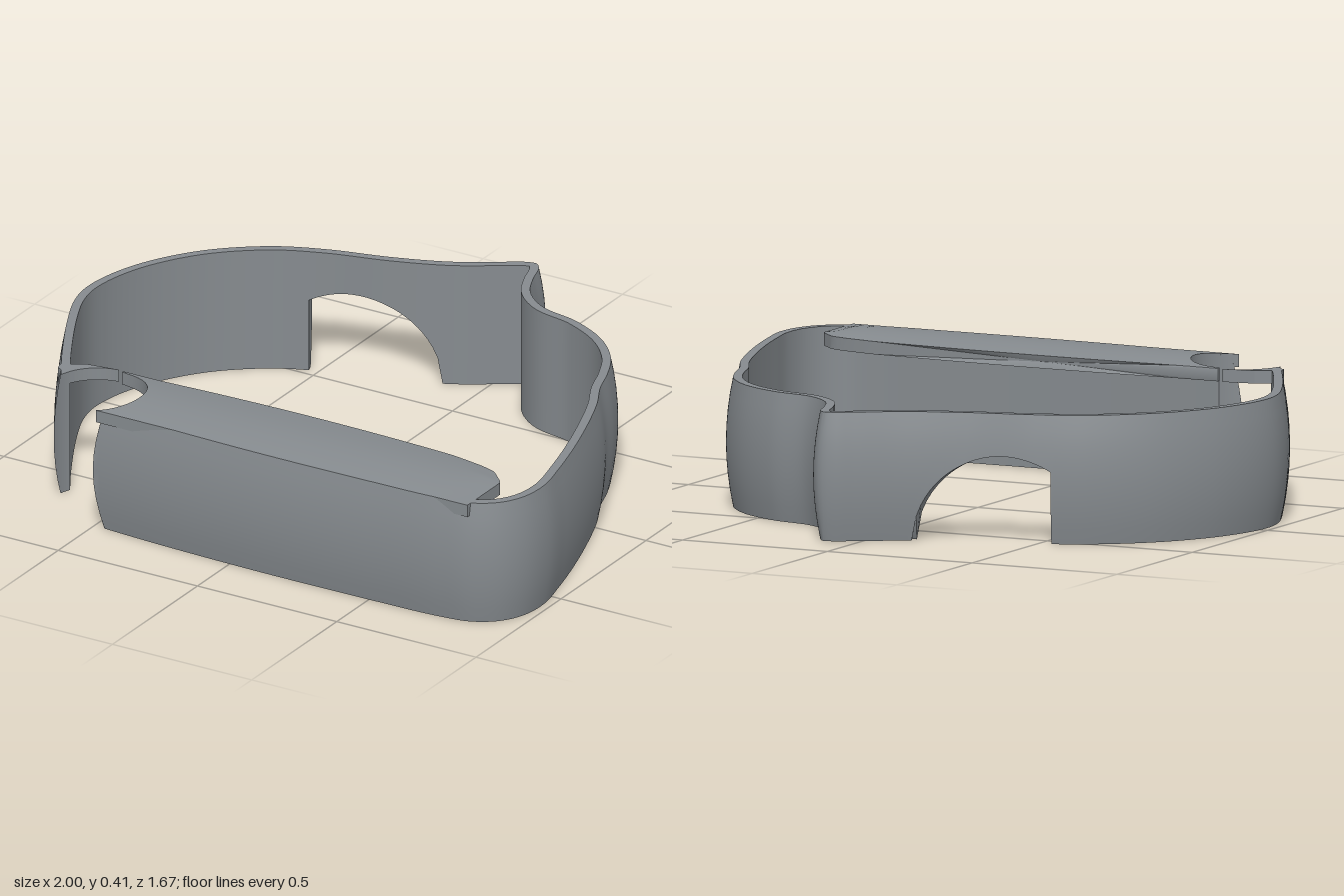
import * as THREE from 'three';
import { toCreasedNormals } from 'three/addons/utils/BufferGeometryUtils.js';

const HEIGHT = 0.4;
const notch = { x: -0.56, z: 0.67, r: 0.155 };   // round vertical cut at the front corner
const arch = { x: -0.4, r: 0.27, from: -0.555 }; // round opening in the back wall

// Skin a row of closed cross-sections and cap both ends
function loft(sections) {
  const pos = [];
  const tri = (a, b, c) => pos.push(...a, ...b, ...c);
  const n = sections[0].length;
  for (let i = 0; i < sections.length - 1; i++) {
    for (let j = 0; j < n; j++) {
      const k = (j + 1) % n, a = sections[i], b = sections[i + 1];
      tri(a[j], a[k], b[j]);
      tri(b[j], a[k], b[k]);
    }
  }
  const cap = (s, end) => {
    const mid = [0, 1, 2].map(c => s.reduce((sum, p) => sum + p[c], 0) / n);
    s.forEach((p, j) => {
      const q = s[(j + 1) % n];
      if (end) tri(mid, p, q); else tri(mid, q, p);
    });
  };
  cap(sections[0], false);
  cap(sections[sections.length - 1], true);
  const g = new THREE.BufferGeometry();
  g.setAttribute('position', new THREE.Float32BufferAttribute(pos, 3));
  return toCreasedNormals(g, 0.6);
}

// Slide a point along direction (dx, dz) until it leaves the notch circle
function clearNotch(x, z, dx, dz) {
  const ox = x - notch.x, oz = z - notch.z;
  const c = ox * ox + oz * oz - notch.r ** 2;
  if (c >= 0) return [x, z];
  const b = ox * dx + oz * dz;
  const s = -b + Math.sqrt(b * b - c);
  return [x + dx * s, z + dz * s];
}

// Widest outline of the band, from the notch round the back to the notch again
const outline = [
  [-0.67, 0.74], [-0.71, 0.68], [-0.80, 0.53], [-0.93, 0.28], [-0.983, 0.15], [-1, 0.05], [-0.985, -0.08],
  [-0.93, -0.23], [-0.82, -0.39], [-0.66, -0.52], [-0.5, -0.59], [-0.3, -0.645], [-0.13, -0.71],
  [0.01, -0.795], [0.07, -0.83], [0.115, -0.837], [0.15, -0.805], [0.18, -0.72], [0.22, -0.64],
  [0.3, -0.575], [0.44, -0.54], [0.58, -0.465], [0.68, -0.36], [0.735, -0.25], [0.77, -0.15],
  [0.82, -0.05], [0.87, 0.08], [0.925, 0.25], [0.97, 0.42], [0.997, 0.56], [0.985, 0.67],
  [0.94, 0.75], [0.86, 0.805], [0.75, 0.825], [0.5, 0.833], [0.1, 0.835], [-0.25, 0.825],
  [-0.46, 0.812], [-0.54, 0.805],
];

// Thin wall with a bulging outside and a straight inside
function wallGeometry() {
  const curve = new THREE.CatmullRomCurve3(outline.map(([x, z]) => new THREE.Vector3(x, 0, z)));
  const N = 400, ROWS = 8;
  const section = (u, open) => {
    const p = curve.getPointAt(u), t = curve.getTangentAt(u);
    const away = u < 0.5 ? 1 : -1;
    const point = (inset, y, fixedInset) => {
      const place = d => clearNotch(p.x - t.z * d, p.z + t.x * d, t.x * away, t.z * away);
      let [x, z] = place(inset);
      if (open) {
        y = Math.max(y, Math.sqrt(Math.max(0, arch.r ** 2 - (x - arch.x) ** 2)));
        if (!fixedInset) [x, z] = place(bulge(y));
      }
      return [x, y, z];
    };
    const bulge = y => 0.022 * ((y - 0.2) / 0.2) ** 2;
    const loop = [];
    for (let j = 0; j <= ROWS; j++) {
      const y = HEIGHT * j / ROWS;
      loop.push(point(bulge(y), y, false));
    }
    for (let j = ROWS; j >= 0; j -= 2) loop.push(point(0.05, HEIGHT * j / ROWS, true));
    return loop;
  };
  const sections = [];
  let wasOpen = false;
  for (let i = 0; i <= N; i++) {
    const u = i / N, p = curve.getPointAt(u);
    const open = p.z < -0.3 && p.x > arch.from && p.x < arch.x + arch.r;
    // a doubled section makes the upright side of the arch
    if (open !== wasOpen) sections.push(section(u, wasOpen));
    sections.push(section(u, open));
    wasOpen = open;
  }
  return loft(sections);
}

// Gently domed shelf behind the front wall, its left end following the notch
function shelfGeometry() {
  const rightEdge = [[0.5, 0.62], [0.515, 0.72], [0.54, 0.79], [0.605, 0.85], [0.81, 0.85]];
  const rightX = z => {
    for (let i = 1; i < rightEdge.length; i++) {
      const [z0, x0] = rightEdge[i - 1], [z1, x1] = rightEdge[i];
      if (z <= z1) return x0 + (x1 - x0) * (z - z0) / (z1 - z0);
    }
    return 0.85;
  };
  const sections = [];
  const ROWS = 28, COLS = 24;
  for (let i = 0; i <= ROWS; i++) {
    const v = i / ROWS, z = 0.5 + 0.305 * v;
    const left = notch.x + Math.sqrt(Math.max(0, notch.r ** 2 - (z - notch.z) ** 2));
    const right = rightX(z);
    const top = [], bottom = [];
    for (let j = 0; j <= COLS; j++) {
      const x = right + (left - right) * j / COLS;
      const zz = z + 0.018 * (1 - v) ** 4 * Math.min(1, ((x - 0.12) / 0.55) ** 2);
      const dome = 0.012 * Math.sin(Math.PI * v) * Math.min(1, (right - x) / 0.07);
      top.push([x, HEIGHT + dome, zz]);
      bottom.unshift([x, 0.36, zz]);
    }
    sections.push([...top, ...bottom]);
  }
  return loft(sections);
}

// Sliver of shelf on the other side of the notch
function shelfTipGeometry() {
  const s = new THREE.Shape();
  s.moveTo(-0.755, -0.575);
  s.lineTo(-0.73, -0.56);
  s.lineTo(-0.68, -0.53);
  s.lineTo(-0.58, -0.515);
  for (let i = 0; i <= 12; i++) {
    const a = 1.68 + 1.1 * i / 12;
    s.lineTo(notch.x + notch.r * Math.cos(a), -notch.z + notch.r * Math.sin(a));
  }
  s.lineTo(-0.745, -0.6);
  s.closePath();
  const g = new THREE.ExtrudeGeometry(s, { depth: 0.04, bevelEnabled: false });
  g.rotateX(-Math.PI / 2);
  g.translate(0, 0.36, 0);
  return g;
}

export function createModel() {
  const group = new THREE.Group();
  group.name = 'curvedBand';
  const grey = new THREE.MeshStandardMaterial({ color: 0x868b8f, side: THREE.DoubleSide });
  grey.name = 'grey';
  const add = (name, geometry) => {
    const mesh = new THREE.Mesh(geometry, grey);
    mesh.name = name;
    group.add(mesh);
  };
  add('wall', wallGeometry());
  add('shelf', shelfGeometry());
  add('shelfTip', shelfTipGeometry());
  return group;
}
